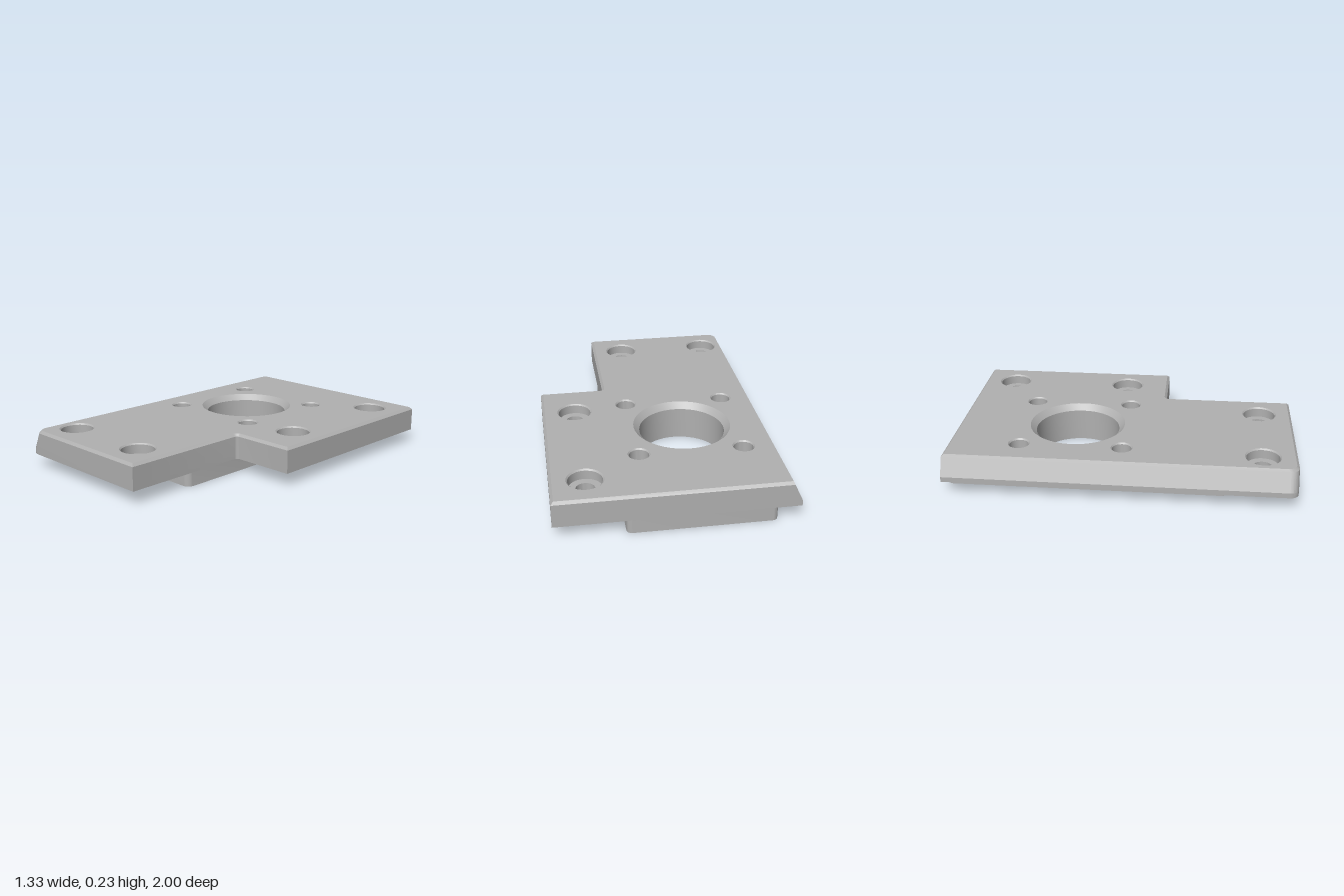
import * as THREE from 'three';
import { toCreasedNormals, mergeGeometries } from 'three/addons/utils/BufferGeometryUtils.js';

const TOP = 0.23, STEP = 0.08, SEG = 48;

// Hole profiles as [radius, y] from top to bottom
const BORE = [[0.285, TOP], [0.25, 0.195], [0.25, 0]];
const PIN = [[0.063, TOP], [0.056, 0.222], [0.056, 0.12], [0.034, 0.12], [0.034, 0]];
const BOLT = [[0.103, TOP], [0.095, 0.222], [0.095, 0.17], [0.053, 0.17], [0.053, STEP]];
const hole = (name, x, z, profile) => ({ name, x, z, profile });
const HOLES = [
  hole('centreBore', -0.14, -0.29, BORE),
  ...[[-0.44, -0.59], [0.155, -0.59], [-0.44, 0.005], [0.155, 0.005]].map(([x, z]) => hole('pinHole', x, z, PIN)),
  ...[[0.472, -0.8], [0.472, -0.045], [-0.478, 0.805], [0.086, 0.805]].map(([x, z]) => hole('boltHole', x, z, BOLT)),
];

// Outline from corners [x, z, radius], clockwise seen from above
function outline(corners) {
  const pts = [];
  corners.forEach(([x, z, r], i) => {
    const p = new THREE.Vector2(x, z);
    if (!r) return pts.push(p);
    const n = corners.length;
    const towards = ([a, b]) => new THREE.Vector2(a, b).sub(p).normalize().multiplyScalar(r);
    const prev = towards(corners[(i + n - 1) % n]), next = towards(corners[(i + 1) % n]);
    for (let k = 0; k <= 8; k++) {
      const t = (k / 8) * Math.PI / 2;
      pts.push(p.clone().addScaledVector(next, 1 - Math.cos(t)).addScaledVector(prev, 1 - Math.sin(t)));
    }
  });
  return pts;
}

// Side walls joining stacked outlines
function walls(layers) {
  const pos = [];
  for (let l = 0; l + 1 < layers.length; l++) {
    const lo = layers[l], hi = layers[l + 1], n = lo.pts.length;
    for (let i = 0; i < n; i++) {
      const j = (i + 1) % n;
      const v = (layer, k) => [layer.pts[k].x, layer.y, layer.pts[k].y];
      const a = v(lo, i), b = v(hi, i), c = v(hi, j), d = v(lo, j);
      pos.push(...a, ...b, ...c, ...a, ...c, ...d);
    }
  }
  const g = new THREE.BufferGeometry();
  g.setAttribute('position', new THREE.Float32BufferAttribute(pos, 3));
  return toCreasedNormals(g, 0.4);
}

// Flat face with round holes, facing up or down
function cap(pts, y, up, holes, end) {
  const s = up ? -1 : 1;
  const shape = new THREE.Shape(pts.map(p => new THREE.Vector2(p.x, s * p.y)));
  for (const h of holes) {
    const r = h.profile.at(end)[0], ring = [];
    for (let i = 0; i < SEG; i++) {
      const a = (i / SEG) * Math.PI * 2;
      ring.push(new THREE.Vector2(h.x + r * Math.cos(a), s * (h.z + r * Math.sin(a))));
    }
    shape.holes.push(new THREE.Path(ring));
  }
  const g = new THREE.ShapeGeometry(shape).rotateX(s * Math.PI / 2).translate(0, y, 0).toNonIndexed();
  g.deleteAttribute('uv');
  return g;
}

// Plate outline for a given left edge and inset
const plateLayer = (y, left, i) => ({
  y,
  pts: outline([
    [left, -1 + i, 0], [0.665 - i, -1 + i, 0], [0.665 - i, 0.225 - i, 0],
    [0.277 - i, 0.225 - i, 0.02 + i], [0.277 - i, 1 - i, 0], [left, 1 - i, 0.05],
  ]),
});

export function createModel() {
  const group = new THREE.Group();
  const metal = new THREE.MeshStandardMaterial({ color: 0xb0b0b0, side: THREE.DoubleSide });
  metal.name = 'grey metal';
  const add = (name, geometry) => {
    const mesh = new THREE.Mesh(geometry, metal);
    mesh.name = name;
    group.add(mesh);
    return mesh;
  };

  // Upper plate: sloping left side, chamfered top rim
  const layers = [
    plateLayer(STEP, -0.667, 0), plateLayer(0.11, -0.667, 0),
    plateLayer(TOP - 0.015, -0.617, 0), plateLayer(TOP, -0.61, 0.015),
  ];
  const bolts = HOLES.filter(h => h.name === 'boltHole');
  const through = HOLES.filter(h => h.name !== 'boltHole');
  add('upperPlate', mergeGeometries([
    walls(layers),
    cap(layers[3].pts, TOP, true, HOLES, 0),
    cap(layers[0].pts, STEP, false, HOLES, -1),
  ]));

  // Raised block under the plate
  const base = outline([[-0.54, -1, 0.03], [0.277, -1, 0.03], [0.277, 0.612, 0.04], [-0.54, 0.612, 0.03]]);
  add('lowerBlock', mergeGeometries([
    walls([{ y: 0, pts: base }, { y: STEP, pts: base }]),
    cap(base, 0, false, through, -1),
  ]));

  // Hole linings
  for (const h of [...through, ...bolts]) {
    const g = new THREE.LatheGeometry(h.profile.map(p => new THREE.Vector2(...p)), SEG);
    add(h.name, toCreasedNormals(g, 0.4)).position.set(h.x, 0, h.z);
  }
  return group;
}
